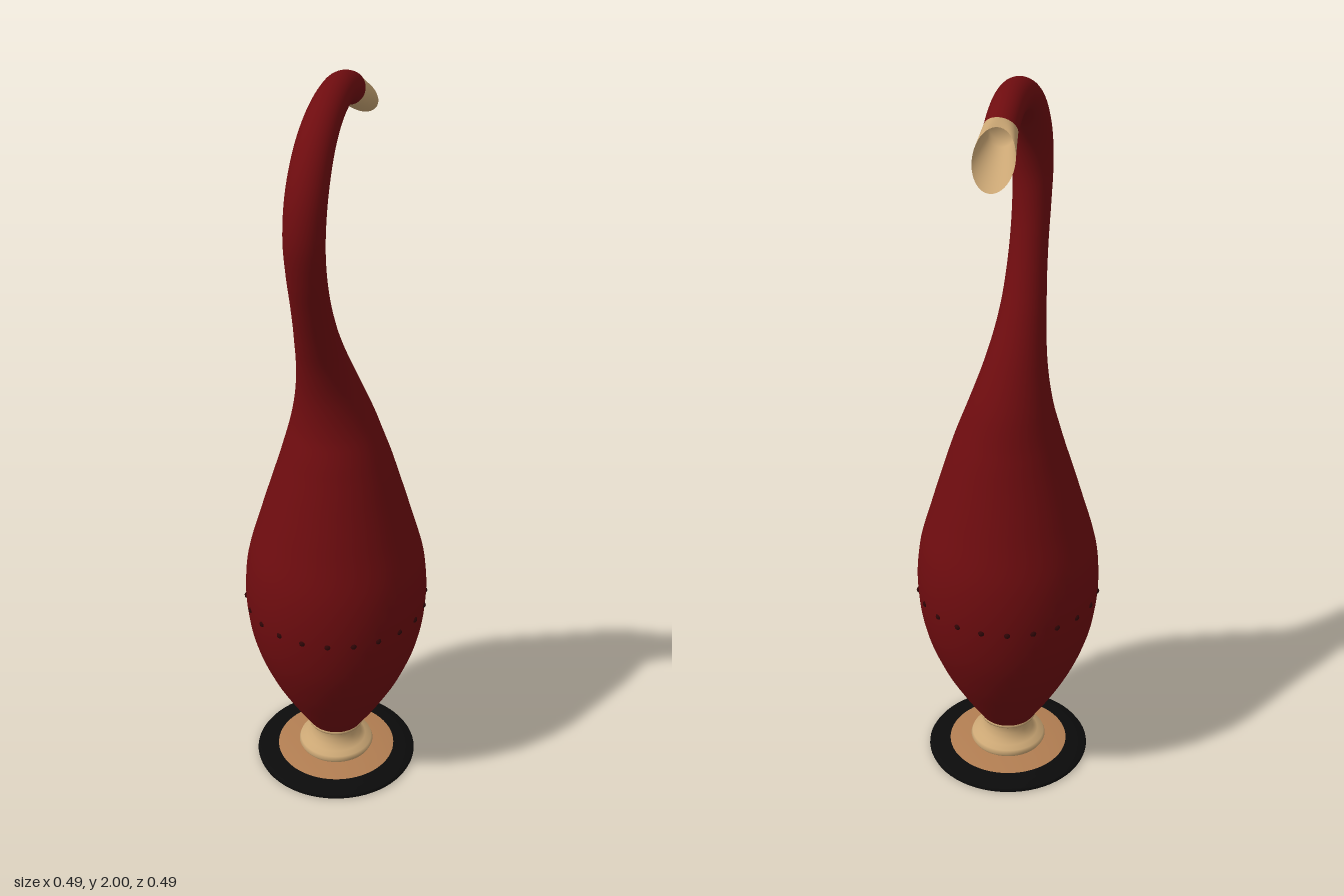
import * as THREE from 'three';

const red = new THREE.MeshStandardMaterial({ name: 'deep red', color: 0x6e0c0f });
const cream = new THREE.MeshStandardMaterial({ name: 'cream', color: 0xcaa674, side: THREE.DoubleSide });
const tan = new THREE.MeshStandardMaterial({ name: 'tan', color: 0xb27e52, side: THREE.DoubleSide });
const black = new THREE.MeshStandardMaterial({ name: 'black', color: 0x0b0b0b, side: THREE.DoubleSide });
const darkRed = new THREE.MeshStandardMaterial({ name: 'dark red', color: 0x2e0506 });

const SIDES = 48;

// A section lies around centre (s, y): u is its half axis in the bending plane, w its half width across.
// The bending plane runs diagonally, from front right to back left.
function sectionPoint({ s, y, us, uy, w }, angle) {
  const along = (s + us * Math.cos(angle)) * Math.SQRT1_2;
  const across = w * Math.sin(angle) * Math.SQRT1_2;
  const shift = -0.017 * THREE.MathUtils.smoothstep(y, 0.95, 1.4);
  return [along + across + shift, y + uy * Math.cos(angle), -along + across + shift];
}

// Skin a list of sections with a smooth closed tube
function loft(sections) {
  const positions = [], index = [];
  sections.forEach((section, i) => {
    for (let j = 0; j < SIDES; j++) {
      positions.push(...sectionPoint(section, (j / SIDES) * Math.PI * 2));
      if (i === 0) continue;
      const k = (j + 1) % SIDES;
      const a = (i - 1) * SIDES + j, b = (i - 1) * SIDES + k;
      index.push(a, b, a + SIDES, b, b + SIDES, a + SIDES);
    }
  });
  const geometry = new THREE.BufferGeometry();
  geometry.setAttribute('position', new THREE.Float32BufferAttribute(positions, 3));
  geometry.setIndex(index);
  geometry.computeVertexNormals();
  return geometry;
}

function blend(a, b, t) {
  const result = {};
  for (const key of Object.keys(a)) result[key] = THREE.MathUtils.lerp(a[key], b[key], t);
  return result;
}

export function createModel() {
  const model = new THREE.Group();
  model.name = 'swanNeckVase';
  const add = (name, geometry, material) => {
    const mesh = new THREE.Mesh(geometry, material);
    mesh.name = name;
    model.add(mesh);
    return mesh;
  };
  const lathe = (name, profile, material) =>
    add(name, new THREE.LatheGeometry(profile.map(([r, y]) => new THREE.Vector2(r, y)), 64), material);

  // Body and neck: spine position along the plane, height, radius
  const spine = [
    [0, 0.108, 0.07], [0, 0.2, 0.128], [0, 0.3, 0.181], [0, 0.42, 0.224], [0, 0.55, 0.242],
    [0, 0.67, 0.235], [0, 0.8, 0.201], [0, 0.9, 0.172], [0, 1.0, 0.142], [-0.002, 1.1, 0.111],
    [-0.02, 1.2, 0.084], [-0.052, 1.3, 0.065], [-0.092, 1.4, 0.054], [-0.13, 1.5, 0.049],
    [-0.16, 1.6, 0.049], [-0.172, 1.7, 0.051], [-0.15, 1.8, 0.051], [-0.09, 1.889, 0.048],
    [-0.005, 1.942, 0.044], [0.09, 1.958, 0.041], [0.145, 1.946, 0.041], [0.18, 1.93, 0.041],
  ];
  const curve = new THREE.CatmullRomCurve3(spine.map((p) => new THREE.Vector3(...p)));
  const sections = [];
  for (let i = 0; i <= 120; i++) {
    const p = curve.getPoint(i / 120);
    const t = curve.getTangent(i / 120);
    const length = Math.hypot(t.x, t.y);
    sections.push({ s: p.x, y: p.y, us: (-t.y / length) * p.z, uy: (t.x / length) * p.z, w: p.z });
  }
  const bottom = { s: 0, y: 0.108, us: 0, uy: 0, w: 0 };
  add('bodyAndNeck', loft([bottom, ...sections]), red);

  // Spout: obliquely cut end with a pointed lower lip, and its hollow inside
  const neckEnd = sections[sections.length - 1];
  const rim = { s: 0.251, y: 1.884, us: -0.042, uy: 0.064, w: 0.051 };
  const outer = [];
  for (let i = 0; i <= 8; i++) outer.push(blend(neckEnd, rim, i / 8));
  add('spout', loft(outer), cream);
  const throat = { s: 0.172, y: 1.928, us: 0.006, uy: 0.03, w: 0.03 };
  const inner = [];
  for (let i = 0; i <= 8; i++) inner.push(blend(rim, throat, i / 8));
  inner.push({ ...throat, us: 0, uy: 0, w: 0 });
  add('spoutInside', loft(inner), cream);

  // Ring of small studs around the belly
  const studs = new THREE.Group();
  studs.name = 'studs';
  const studGeometry = new THREE.SphereGeometry(0.009, 10, 8);
  for (let i = 0; i < 22; i++) {
    const angle = (i / 22) * Math.PI * 2;
    const stud = new THREE.Mesh(studGeometry, darkRed);
    stud.name = 'stud';
    stud.position.set(Math.sin(angle) * 0.238, 0.545, Math.cos(angle) * 0.238);
    studs.add(stud);
  }
  model.add(studs);

  // Hollow foot
  lathe('foot', [
    [0.098, 0.026], [0.103, 0.036], [0.099, 0.047], [0.082, 0.053], [0.07, 0.064], [0.063, 0.08],
    [0.061, 0.098], [0.066, 0.104], [0.075, 0.107], [0.077, 0.113], [0.073, 0.119], [0.066, 0.119],
  ], cream);

  // Thin, slightly domed base plate: tan inner ring and black border
  lathe('baseInnerRing', [[0.162, 0.02], [0.13, 0.025], [0.09, 0.028]], tan);
  lathe('baseBorder', [[0.162, 0.012], [0.218, 0], [0.22, 0.005], [0.216, 0.011], [0.19, 0.017], [0.162, 0.02]], black);

  return model;
}
